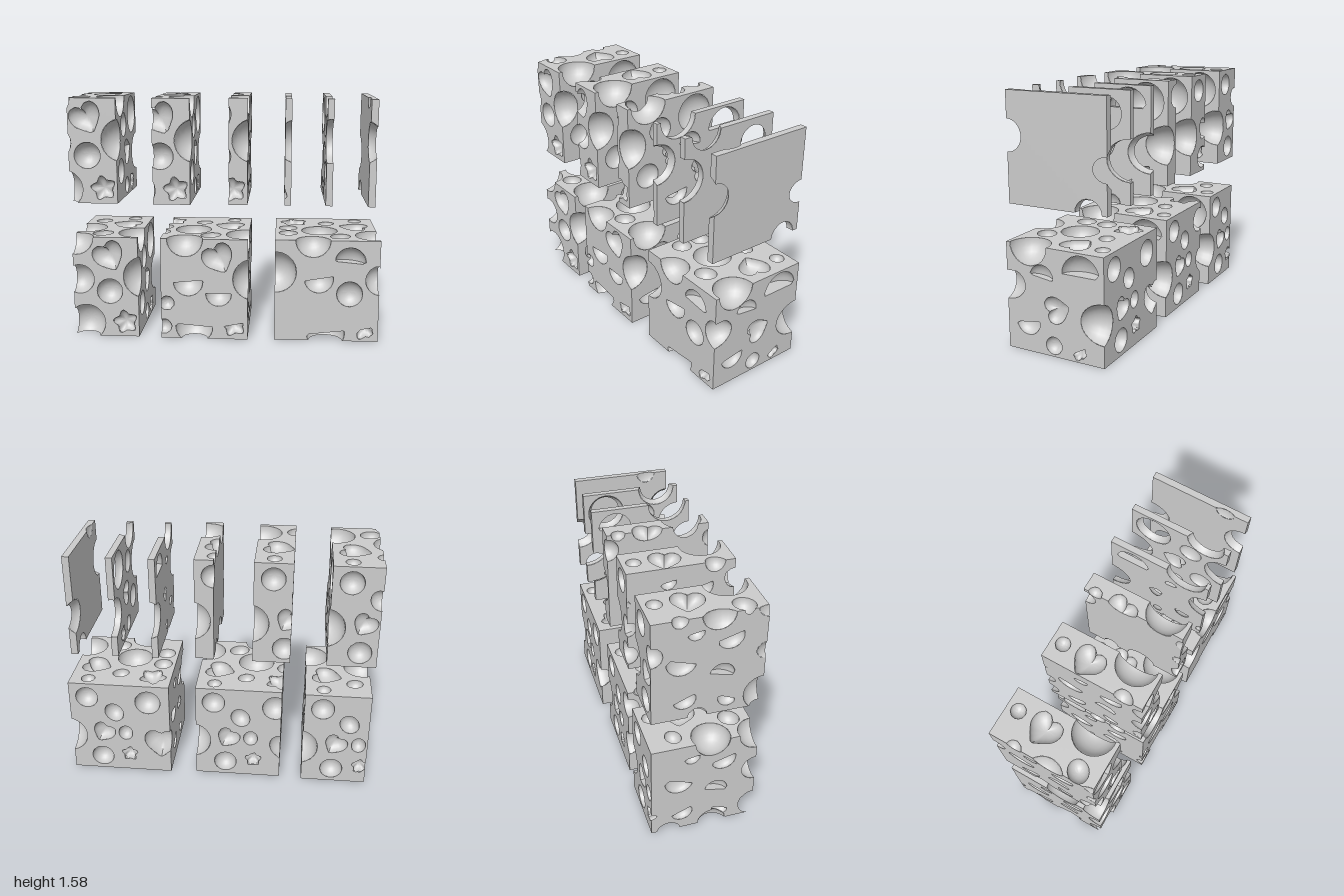
import * as THREE from 'three';
import { toCreasedNormals } from 'three/addons/utils/BufferGeometryUtils.js';

const H = 0.675, D = 0.67, Z = D / 2;
const material = new THREE.MeshStandardMaterial({ color: 0xcccccc, roughness: 0.9 });

// Outlines of the pits, as a radius by angle measured from "up"
const heartRadii = [0.55, 0.88, 1.06, 1.06, 0.98, 0.9, 0.84, 0.9, 1.1];
const outlines = {
  round: () => 1,
  oval: t => 1 / Math.hypot(Math.cos(t), Math.sin(t) / 0.78 * 0.9),
  star: t => {
    const s = (t / (Math.PI * 0.4) + 5) % 1;
    return 0.62 + 0.38 * Math.abs(1 - 2 * s);
  },
  heart: t => {
    const s = Math.min(7.999, Math.abs(t) / Math.PI * 8), i = Math.floor(s);
    return THREE.MathUtils.lerp(heartRadii[i], heartRadii[i + 1], s - i);
  },
};
const segments = { round: 24, oval: 24, star: 30, heart: 32 };

// Rotations that turn +z into each face's outward direction
const facing = {
  front: [0, 0], frontCut: [0, 0], right: [0, Math.PI / 2], back: [0, Math.PI],
  left: [0, -Math.PI / 2], top: [-Math.PI / 2, 0], bottom: [Math.PI / 2, 0],
};

// Pits: centre (x measured from the block's right end), radius, outline, spin, can be halved, depth
const pits = {
  front: [
    [-0.195, 0.555, Z, 0.1, 'heart', 0.45, 0, 0.07],
    [-0.19, 0.31, Z, 0.085, 'round', 0, 1],
    [0.04, 0.41, Z, 0.138, 'round', 0, 0],
    [-0.09, 0.1, Z, 0.085, 'star', 0.2, 1, 0.05],
    [-0.35, 0.09, Z, 0.125, 'round', -0.08, 1],
    [-0.39, 0.39, Z, 0.098, 'round', 0.1, 1],
    [-0.41, H, Z, 0.118, 'round', 0, 0],
    [-0.53, 0.24, Z, 0.048, 'round', 0, 0],
    [-0.55, 0.08, Z, 0.05, 'round', 0, 0],
  ],
  // Pits left on the front of the widest block
  frontCut: [
    [-0.67, 0.46, Z, 0.135, 'round', 0, 0],
    [-0.43, H, Z, 0.113, 'round', 0, 0],
    [-0.39, 0.42, Z, 0.095, 'round', 0.17, 1, 0.08],
    [-0.19, 0.32, Z, 0.084, 'round', 0, 0, 0.07],
    [-0.19, 0.53, Z, 0.1, 'round', 3.05, 1, 0.08],
    [0.01, 0.415, Z, 0.1, 'round', -1.45, 1, 0.13],
    [-0.34, 0.055, Z, 0.125, 'round', 0.12, 1],
    [-0.09, 0.085, Z, 0.08, 'star', 0.2, 1, 0.05],
  ],
  top: [
    [-0.12, H, -0.26, 0.046, 'round', 0, 0],
    [-0.135, H, -0.075, 0.098, 'heart', -1.85, 0, 0.07],
    [-0.02, H, 0.18, 0.13, 'round', 0, 0],
    [-0.38, H, 0.05, 0.12, 'round', 0, 0],
    [-0.25, H, 0.21, 0.07, 'oval', -0.9, 0],
    [-0.325, H, -0.17, 0.056, 'oval', -1.2, 0],
    [-0.59, H, -0.02, 0.062, 'round', 0, 0],
    [-0.59, H, 0.13, 0.062, 'round', 0, 0],
    [-0.55, H, -0.2, 0.098, 'star', 0.2, 0, 0.05],
  ],
  right: [
    [0, 0.535, -0.18, 0.125, 'round', Math.PI, 1, 0.09],
    [0, 0.485, 0.09, 0.08, 'round', 3, 1, 0.05],
    [0, 0.3, -0.01, 0.085, 'heart', 1.9, 0, 0.05],
    [0, 0.19, 0.19, 0.083, 'round', 0.15, 1, 0.055],
    [0, 0.07, 0.01, 0.056, 'round', 0, 0, 0.05],
    [0, 0.07, -0.16, 0.065, 'star', 0.5, 1, 0.04],
  ],
  back: [
    [0.03, 0.265, -Z, 0.13, 'round', 0, 0, 0.16],
    [-0.12, 0.57, -Z, 0.075, 'round', 0, 0],
    [-0.3, 0.46, -Z, 0.07, 'oval', 0.6, 0],
    [-0.22, 0.3, -Z, 0.075, 'heart', -0.5, 0, 0.06],
    [-0.2, 0.1, -Z, 0.075, 'round', 0, 0],
    [-0.39, 0.13, -Z, 0.06, 'star', 0, 0, 0.05],
    [-0.37, 0.3, -Z, 0.055, 'oval', 0, 0],
    [-0.53, 0.55, -Z, 0.085, 'round', 0, 0],
    [-0.61, 0.24, -Z, 0.11, 'heart', 0, 0, 0.09],
  ],
  bottom: [
    [-0.14, 0, 0.06, 0.1, 'round', 0, 0],
    [-0.16, 0, -0.16, 0.07, 'oval', 0.7, 0],
    [-0.3, 0, -0.06, 0.06, 'round', 0, 0],
    [-0.42, 0, -0.22, 0.09, 'heart', 0.4, 0, 0.06],
    [-0.47, 0, 0.06, 0.1, 'round', 0, 0],
    [-0.6, 0, -0.08, 0.065, 'oval', 0.3, 0],
    [0.125, 0, -0.21, 0.09, 'round', 0, 0],
  ],
};
// Half-round pits repeated on the cut left end of the thick blocks
const cutPits = [
  [0.52, 0.12, 0.08, 0.3], [0.4, -0.16, 0.09, -0.3], [0.27, 0.08, 0.075, 2.9],
  [0.14, -0.14, 0.07, 0.4], [0.58, -0.08, 0.05, 0.2], [0.1, 0.12, 0.06, -0.4],
];

// A pit: a half-sunk ball stretched to its outline, with a test for its inside
function makePit(face, [x, y, z, r, outline, spin, , depth = r], half) {
  const radius = outlines[outline];
  const geo = new THREE.SphereGeometry(1, segments[outline], 14).rotateX(Math.PI / 2);
  const pos = geo.attributes.position;
  for (let i = 0; i < pos.count; i++) {
    const a = pos.getX(i), b = pos.getY(i), k = radius(Math.atan2(a, b));
    pos.setXY(i, a * k, half ? Math.min(0, b * k) : b * k);
  }
  const o = new THREE.Object3D();
  o.position.set(x, y, z);
  o.rotation.set(...facing[face], 0);
  o.rotateZ(spin);
  o.scale.set(r, r, depth);
  o.updateMatrix();
  const inverse = o.matrix.clone().invert(), v = new THREE.Vector3();
  const outside = p => {
    v.set(p[0], p[1], p[2]).applyMatrix4(inverse);
    const k = outline === 'round' ? 1 : radius(Math.atan2(v.x, v.y));
    const d = Math.hypot(v.x / k, v.y / k, v.z) - 1;
    return half ? Math.max(d, v.y) : d;
  };
  geo.applyMatrix4(o.matrix);
  return { geo: toCreasedNormals(geo, 0.75), outside };
}

// Keep the part of a polygon where keep(point) is positive
function clip(poly, keep) {
  const d = poly.map(keep);
  if (d.every(e => e >= 0)) return poly;
  if (d.every(e => e < 0)) return [];
  const out = [];
  poly.forEach((p, i) => {
    const j = (i + 1) % poly.length, q = poly[j];
    if (d[i] >= 0) out.push(p);
    if ((d[i] >= 0) === (d[j] >= 0)) return;
    let lo = 0, hi = 1, m;
    for (let n = 0; n < 12; n++) {
      const t = (lo + hi) / 2;
      m = p.map((e, c) => e + (q[c] - e) * t);
      if ((keep(m) >= 0) === (d[i] >= 0)) lo = t; else hi = t;
    }
    out.push(m);
  });
  return out;
}

// Trim a geometry by several rules; inward turns its surface inside out
function trim(geo, rules, inward, out) {
  const g = geo.index ? geo.toNonIndexed() : geo;
  const P = g.attributes.position, N = g.attributes.normal, s = inward ? -1 : 1;
  for (let i = 0; i < P.count; i += 3) {
    let poly = (inward ? [i, i + 2, i + 1] : [i, i + 1, i + 2]).map(k =>
      [P.getX(k), P.getY(k), P.getZ(k), s * N.getX(k), s * N.getY(k), s * N.getZ(k)]);
    for (const rule of rules) {
      poly = clip(poly, rule);
      if (poly.length < 3) break;
    }
    for (let k = 1; k < poly.length - 1; k++) out.push(poly[0], poly[k], poly[k + 1]);
  }
}

function toMesh(points, name) {
  const geo = new THREE.BufferGeometry();
  geo.setAttribute('position', new THREE.Float32BufferAttribute(points.flatMap(p => p.slice(0, 3)), 3));
  geo.setAttribute('normal', new THREE.Float32BufferAttribute(points.flatMap(p => p.slice(3)), 3));
  const mesh = new THREE.Mesh(geo, material);
  mesh.name = name;
  return mesh;
}

// One block, spanning x from u0 to u1 of the shared pit pattern
function makeBlock(u0, u1, halves) {
  const holes = [], w = u1 - u0;
  for (const face in pits) {
    if (face === (w > 0.6 ? 'front' : 'frontCut')) continue;
    for (const row of pits[face]) {
      const reach = row[3] * 1.15;
      if (row[0] + reach > u0 && row[0] - reach < u1) holes.push(makePit(face, row, halves && row[6]));
    }
  }
  if (w > 0.2)
    for (const [y, z, r, spin] of cutPits)
      holes.push(makePit('left', [u0, y, z, r, 'round', spin, 1, 0.05], true));

  const n = s => Math.max(2, Math.round(s / 0.028));
  const box = new THREE.BoxGeometry(w, H, D, n(w), n(H), n(D)).translate((u0 + u1) / 2, H / 2, 0);
  const body = [], hollow = [];
  trim(box, holes.map(h => h.outside), false, body);
  const walls = [
    p => p[0] - u0, p => u1 - p[0], p => p[1], p => H - p[1], p => p[2] + Z, p => Z - p[2],
  ];
  holes.forEach(h => trim(h.geo,
    [...walls, ...holes.filter(o => o !== h).map(o => o.outside)], true, hollow));
  const group = new THREE.Group();
  group.add(toMesh(body, 'blockFaces'), toMesh(hollow, 'pits'));
  return group;
}

export function createModel() {
  const model = new THREE.Group();
  // right end x, base y, z shift, pattern start, pattern end, halved pits
  const blocks = [
    [-0.57, 0, -0.005, -0.43, 0, false], [0.15, 0, 0.005, -0.57, 0, true],
    [1.0, 0, -0.012, -0.675, 0, true], [-0.69, 0.9, -0.005, -0.31, 0, false],
    [-0.22, 0.9, 0.005, -0.24, 0, false], [0.145, 0.903, 0.005, -0.12, 0, false],
    [0.422, 0.9, -0.012, -0.042, 0, true], [0.683, 0.9, -0.012, 0.015, 0.057, false],
    [0.953, 0.897, -0.012, 0.092, 0.137, false],
  ];
  blocks.forEach(([x, y, z, u0, u1, halves], i) => {
    const block = makeBlock(u0, u1, halves);
    block.name = (i < 3 ? 'lowerBlock' : 'upperSlice') + (i < 3 ? i + 1 : i - 2);
    block.position.set(x - u1, y, z);
    model.add(block);
  });
  return model;
}
